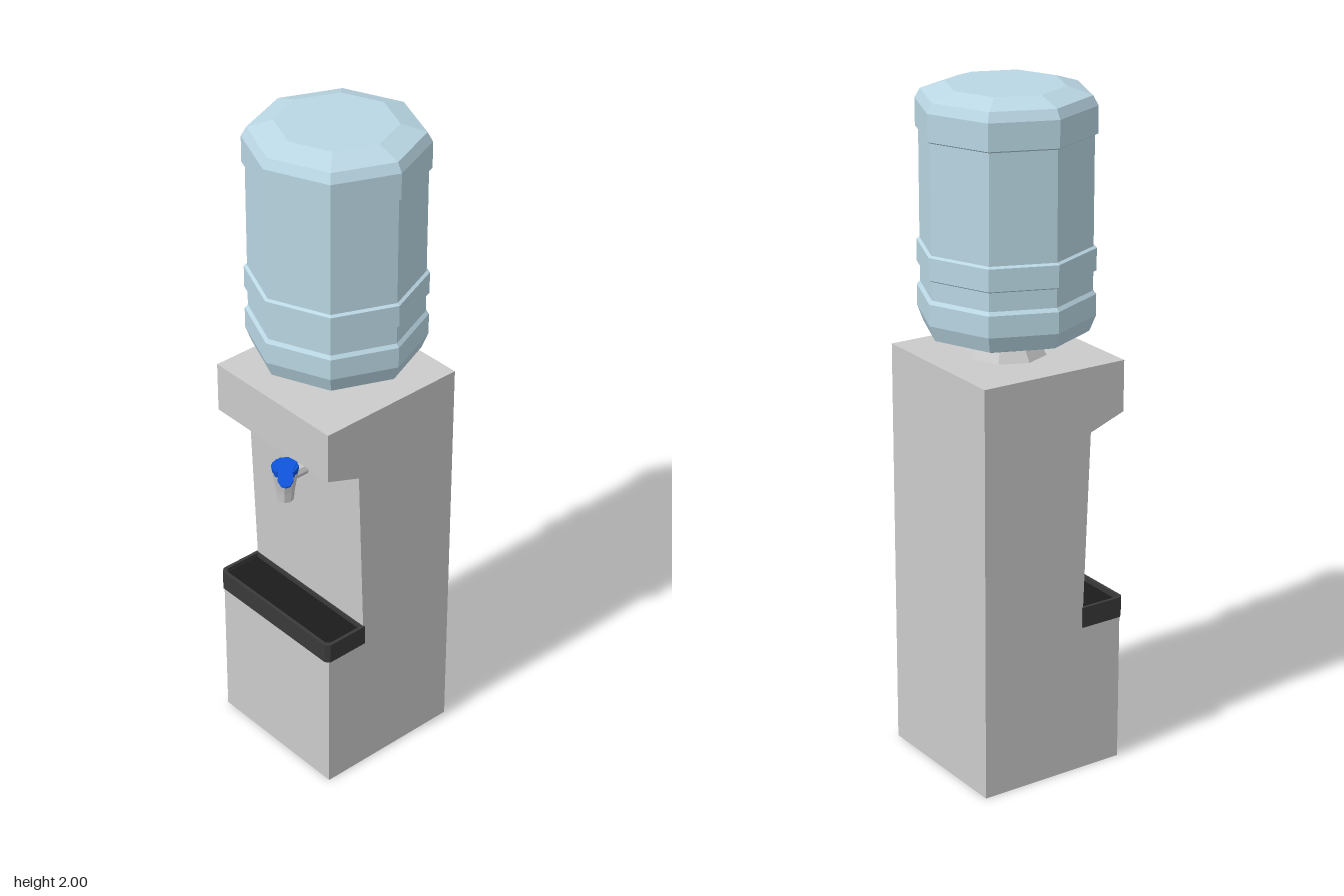
import * as THREE from 'three';

export function createModel() {
  const model = new THREE.Group();
  const material = (color) => new THREE.MeshStandardMaterial({ color, flatShading: true, side: THREE.DoubleSide });
  const grey = material(0xcccccc);
  const dark = material(0x3a3a3a);
  const black = material(0x1c1c1c);
  const water = material(0xbad7e4);
  const blue = material(0x0f55dd);

  function add(name, geometry, mat, x = 0, y = 0, z = 0, parent = model) {
    const mesh = new THREE.Mesh(geometry, mat);
    mesh.name = name;
    mesh.position.set(x, y, z);
    parent.add(mesh);
    return mesh;
  }
  const lathe = (points, sides) =>
    new THREE.LatheGeometry(points.map(([r, y]) => new THREE.Vector2(r, y)), sides);

  // Cabinet: side outline (z, y) with the tap recess, extruded across x
  const outline = [
    [-0.235, 0], [0.23, 0], [0.23, 0.46], [0.1, 0.46], [0.1, 0.51],
    [0.12, 1.04], [0.232, 1.08], [0.232, 1.232], [-0.235, 1.238],
  ];
  const side = new THREE.Shape(outline.map(([z, y]) => new THREE.Vector2(-z, y)));
  const body = new THREE.ExtrudeGeometry(side, { depth: 0.47, bevelEnabled: false });
  body.translate(0, 0, -0.235);
  body.rotateY(Math.PI / 2);
  add('cabinet', body, grey);

  // Drip tray: rounded front corners, raised rim and sunken floor
  const tray = new THREE.Group();
  tray.name = 'dripTray';
  model.add(tray);
  const trayShape = (w, back, front, r) => {
    const s = new THREE.Shape();
    s.moveTo(-w, -back);
    s.lineTo(-w, -front + r);
    s.lineTo(-w + r, -front);
    s.lineTo(w - r, -front);
    s.lineTo(w, -front + r);
    s.lineTo(w, -back);
    s.closePath();
    return s;
  };
  const slab = (shape, height) =>
    new THREE.ExtrudeGeometry(shape, { depth: height, bevelEnabled: false }).rotateX(-Math.PI / 2);
  const rim = trayShape(0.24, 0.097, 0.24, 0.012);
  rim.holes.push(trayShape(0.23, 0.105, 0.23, 0.01));
  add('trayRim', slab(rim, 0.062), dark, 0, 0.45, 0, tray);
  add('trayFloor', slab(trayShape(0.232, 0.103, 0.232, 0.01), 0.045), black, 0, 0.452, 0, tray);

  // Collar holding the bottle
  add('bottleCollar', lathe([[0, 1.23], [0.118, 1.23], [0.09, 1.275], [0, 1.28]], 8), grey, 0, 0, -0.005);

  // Eight-sided bottle with raised bands
  add('bottle', lathe([
    [0, 1.275], [0.085, 1.275], [0.185, 1.295], [0.235, 1.312],
    [0.253, 1.358], [0.253, 1.42], [0.244, 1.43], [0.244, 1.483],
    [0.253, 1.488], [0.253, 1.552], [0.244, 1.557], [0.244, 1.868],
    [0.253, 1.873], [0.253, 1.95], [0.238, 1.977], [0.167, 2], [0, 2],
  ], 8), water, 0, 0, -0.005);

  // Tap: pipe, tapered spout, blue collar and swivelled paddle
  const tap = new THREE.Group();
  tap.name = 'tap';
  tap.position.z = 0.187;
  model.add(tap);
  const pipe = new THREE.CylinderGeometry(0.02, 0.02, 0.1, 8).rotateX(Math.PI / 2);
  add('tapPipe', pipe, grey, 0, 0.952, -0.05, tap);
  add('tapSpout', lathe([
    [0, 0.877], [0.024, 0.877], [0.027, 0.91], [0.037, 0.968], [0, 0.968],
  ], 8), grey, 0, 0, 0, tap);
  add('tapCollar', new THREE.CylinderGeometry(0.04, 0.036, 0.026, 8), blue, 0, 0.977, 0, tap);
  const paddle = new THREE.Shape([
    [-0.036, -0.012], [-0.012, -0.036], [0.03, -0.02], [0.075, -0.022], [0.102, -0.012],
    [0.108, 0], [0.102, 0.012], [0.075, 0.022], [0.03, 0.02], [-0.012, 0.036], [-0.036, 0.012],
  ].map(([x, y]) => new THREE.Vector2(x, y)));
  add('tapPaddle', slab(paddle, 0.005), blue, 0, 0.988, 0, tap).rotation.y = -0.68;

  return model;
}
